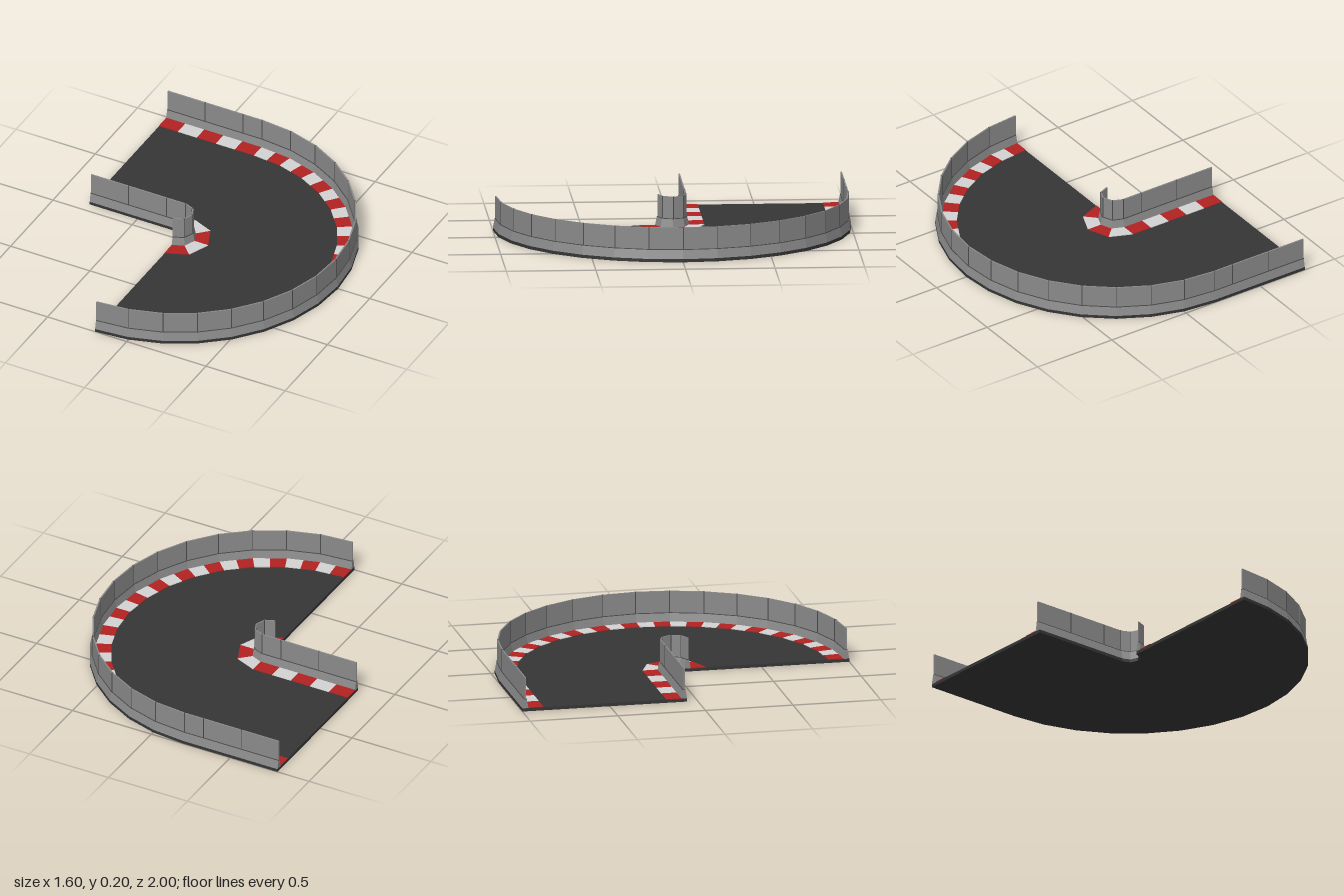
import * as THREE from 'three';

const material = (name, color) => {
  const m = new THREE.MeshStandardMaterial({ color });
  m.name = name;
  return m;
};

const ROAD_Y = 0.018, LEDGE_Y = 0.07, TOP_Y = 0.195;

// A station is a place along the track: a corner pivot x and a unit direction away from it.
const station = (x, a) => ({ x, s: Math.sin(a), c: Math.cos(a) });
const mix = (p, q, t) => ({
  x: p.x + (q.x - p.x) * t, s: p.s + (q.s - p.s) * t, c: p.c + (q.c - p.c) * t,
});
const at = (st, r, y) => [st.x + r * st.s, y, -r * st.c];

// Stations for a straight run (given x values) followed by a half-circle bend.
function stations(xs, segments) {
  const list = xs.map((x) => station(x, 0));
  for (let i = 0; i <= segments; i++) list.push(station(-0.2, (i / segments) * Math.PI));
  return list;
}

// Adds one straight prism between two stations; profile is counter-clockwise [radius, y].
function prism(out, profile, a, b) {
  const n = profile.length;
  const A = profile.map(([r, y]) => at(a, r, y));
  const B = profile.map(([r, y]) => at(b, r, y));
  for (let i = 0; i < n; i++) {
    const j = (i + 1) % n;
    out.push(...A[i], ...A[j], ...B[j], ...A[i], ...B[j], ...B[i]);
  }
  for (let i = 1; i < n - 1; i++) {
    out.push(...A[0], ...A[i + 1], ...A[i], ...B[0], ...B[i], ...B[i + 1]);
  }
}

function toMesh(name, positions, mat) {
  const g = new THREE.BufferGeometry();
  g.setAttribute('position', new THREE.Float32BufferAttribute(positions, 3));
  g.computeVertexNormals();
  const mesh = new THREE.Mesh(g, mat);
  mesh.name = name;
  return mesh;
}

// Symmetric four-sided profile around radius rc.
const band = (rc, low, high, y0, y1) => [
  [rc - low, y0], [rc + low, y0], [rc + high, y1], [rc - high, y1],
];

export function createModel() {
  const asphalt = material('asphalt', 0x353535);
  const concrete = material('concrete', 0x8a8a8a);
  const seam = material('dark seam', 0x4c4c4c);
  const red = material('kerb red', 0xb22222);
  const white = material('kerb white', 0xd2d2d2);

  const model = new THREE.Group();
  model.name = 'trackCorner';

  // Road slab
  const edge = (r, n) => stations([-0.8], n).map((st) => {
    const [x, , z] = at(st, r, 0);
    return new THREE.Vector2(x, -z);
  });
  const outline = [...edge(1, 16), ...edge(0.06, 4).reverse()];
  const slab = new THREE.ExtrudeGeometry(new THREE.Shape(outline), {
    depth: ROAD_Y, bevelEnabled: false,
  });
  slab.rotateX(-Math.PI / 2);
  const road = new THREE.Mesh(slab, asphalt);
  road.name = 'road';
  model.add(road);

  const sides = [
    { name: 'outer', segments: 16, split: 2, wall: 0.9825, kerb: [0.88, 0.968] },
    { name: 'inner', segments: 4, split: 1, wall: 0.0775, kerb: [0.092, 0.18] },
  ];
  for (const { name, segments, split, wall, kerb } of sides) {
    const group = new THREE.Group();
    group.name = name + 'Edge';

    // Striped kerb: alternating thin plates, red first
    const [r0, r1] = kerb;
    const plate = [[r0, ROAD_Y - 0.002], [r1, ROAD_Y - 0.002], [r1, 0.022], [r0, 0.022]];
    const stripes = [[], []];
    const path = stations([-0.8, -0.68, -0.56, -0.44, -0.32], segments);
    let count = 0;
    for (let i = 0; i < path.length - 1; i++) {
      const parts = i < 5 ? 1 : split;
      for (let k = 0; k < parts; k++) {
        prism(stripes[count++ % 2], plate,
          mix(path[i], path[i + 1], k / parts), mix(path[i], path[i + 1], (k + 1) / parts));
      }
    }
    group.add(toMesh(name + 'KerbRed', stripes[0], red));
    group.add(toMesh(name + 'KerbWhite', stripes[1], white));

    // Barrier: sloped foot, dark ledge, upright panels with dark joints
    const foot = [], ledge = [], panels = [], joints = [];
    const wallPath = stations([-0.8, -0.56, -0.32], segments);
    for (let i = 0; i < wallPath.length - 1; i++) {
      const a = wallPath[i], b = wallPath[i + 1];
      prism(foot, band(wall, 0.0175, 0.0075, ROAD_Y, LEDGE_Y - 0.002), a, b);
      prism(ledge, band(wall, 0.0075, 0.0075, LEDGE_Y - 0.002, LEDGE_Y + 0.002), a, b);
      prism(panels, band(wall, 0.004, 0.004, LEDGE_Y + 0.002, TOP_Y), a, b);
      if (i < wallPath.length - 2) {
        const p = at(a, wall, 0), q = at(b, wall, 0);
        const length = Math.hypot(q[0] - p[0], q[2] - p[2]);
        prism(joints, band(wall, 0.0048, 0.0048, LEDGE_Y + 0.002, TOP_Y + 0.0005),
          mix(a, b, 1 - 0.005 / length), b);
      }
    }
    group.add(toMesh(name + 'BarrierFoot', foot, concrete));
    group.add(toMesh(name + 'BarrierLedge', ledge, seam));
    group.add(toMesh(name + 'BarrierPanels', panels, concrete));
    group.add(toMesh(name + 'BarrierJoints', joints, seam));
    model.add(group);
  }
  return model;
}
